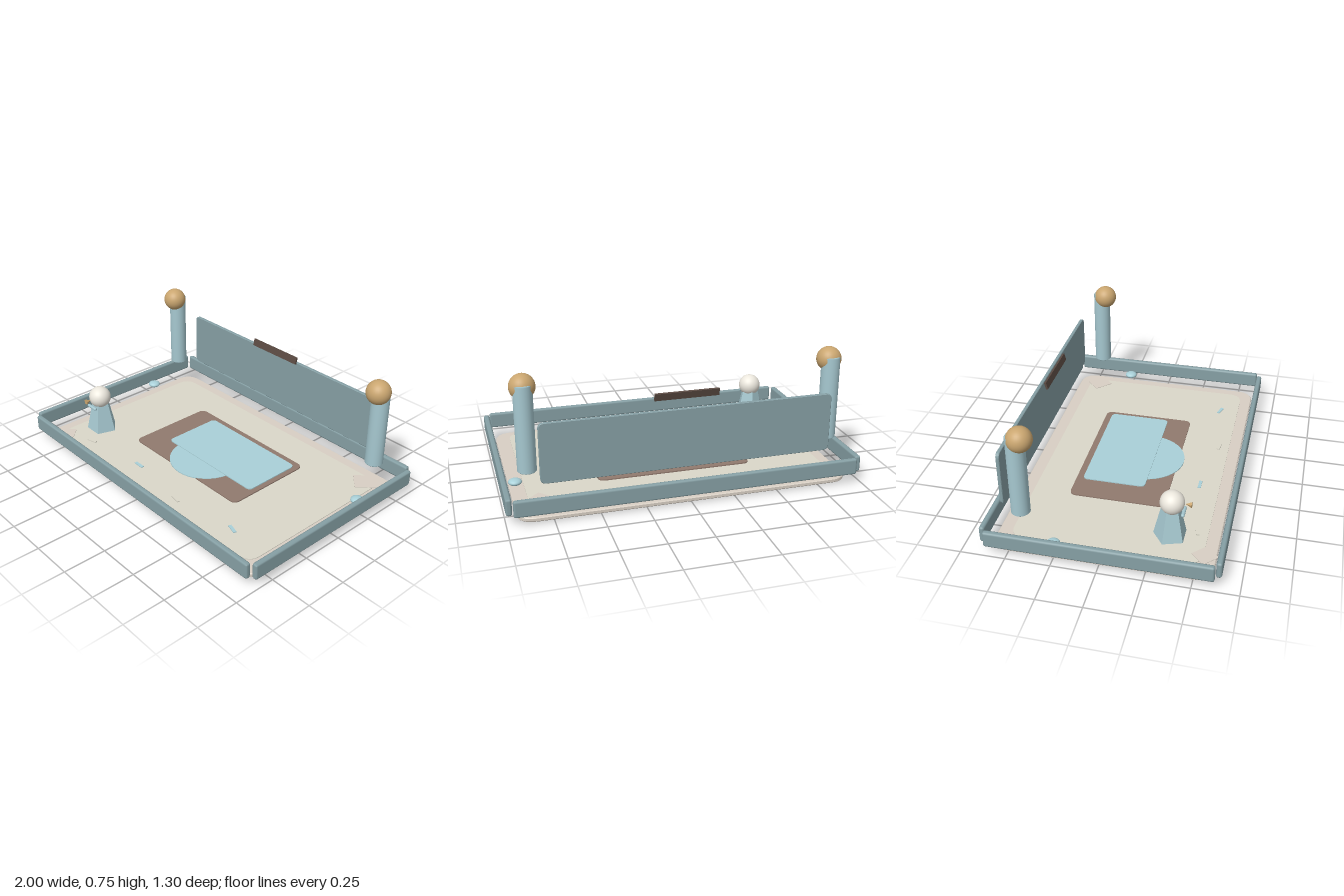
import * as THREE from 'three';
import { RoundedBoxGeometry } from 'three/addons/geometries/RoundedBoxGeometry.js';

const COLORS = {
  sand: 0xd8cfc4, mat: 0xdad7c9, rail: 0x86a0a5, post: 0xa6c8d0, gold: 0xcaa670,
  brown: 0x917a6e, water: 0xa9d0d8, cream: 0xece8de, dark: 0x5a4a42,
};

export function createModel() {
  const model = new THREE.Group();
  const mats = {};
  const material = (key, flat = false) => (mats[key + flat] ??=
    new THREE.MeshStandardMaterial({ color: COLORS[key], flatShading: flat }));

  function add(name, geometry, color, x, y, z, flat = false) {
    const mesh = new THREE.Mesh(geometry, material(color, flat));
    mesh.name = name;
    mesh.position.set(x, y, z);
    model.add(mesh);
    return mesh;
  }

  // Rounded rectangle, extruded along z and centred on its middle
  function plate(w, h, r, depth, bevel = 0) {
    const s = new THREE.Shape();
    const x = w / 2 - bevel, y = h / 2 - bevel;
    s.moveTo(-x + r, -y);
    s.lineTo(x - r, -y).quadraticCurveTo(x, -y, x, -y + r);
    s.lineTo(x, y - r).quadraticCurveTo(x, y, x - r, y);
    s.lineTo(-x + r, y).quadraticCurveTo(-x, y, -x, y - r);
    s.lineTo(-x, -y + r).quadraticCurveTo(-x, -y, -x + r, -y);
    const g = new THREE.ExtrudeGeometry(s, {
      depth: depth - 2 * bevel, curveSegments: 8,
      bevelEnabled: bevel > 0, bevelSize: bevel, bevelThickness: bevel, bevelSegments: 1,
    });
    return g.translate(0, 0, bevel - depth / 2);
  }
  const slab = (...args) => plate(...args).rotateX(-Math.PI / 2);

  // Floor and the thin layers lying above it
  add('floor', slab(1.88, 1.2, 0.1, 0.025, 0.005), 'sand', 0, 0.0125, 0);
  add('floorMat', slab(1.72, 1.05, 0.08, 0.004), 'mat', 0, 0.038, 0.005);
  add('rug', slab(0.9, 0.555, 0.04, 0.007), 'brown', 0, 0.0475, -0.0275);
  add('puddleRound', new THREE.CylinderGeometry(0.225, 0.225, 0.006, 40), 'water', 0, 0.051, 0.06);
  add('puddleSquare', slab(0.72, 0.37, 0.03, 0.006), 'water', 0.06, 0.055, -0.08);

  // Corner diamonds
  for (const [x, z, size] of [[-0.8, 0.54, 0.103], [0.8, -0.455, 0.12]]) {
    add('cornerDiamond', new THREE.BoxGeometry(size, 0.003, size), 'sand', x, 0.053, z).rotation.y = Math.PI / 4;
  }

  // Small dashes scattered near the front
  for (const [x, z, turn, color] of [[-0.62, 0.47, 0.25, 'mat'], [-0.207, 0.417, 0, 'water'],
    [0.203, 0.472, -0.15, 'mat'], [0.615, 0.42, -0.3, 'water']]) {
    add('dash', new THREE.BoxGeometry(0.065, 0.005, 0.018), color, x, 0.056, z).rotation.y = turn;
  }

  // Rails around the edge
  for (const s of [-1, 1]) {
    add(s > 0 ? 'frontRail' : 'backRail',
      new RoundedBoxGeometry(1.925, 0.095, 0.032, 1, 0.012), 'rail', 0, 0.107, s * 0.634);
    add(s > 0 ? 'leftRail' : 'rightRail',
      new RoundedBoxGeometry(0.034, 0.095, 1.235, 1, 0.012), 'rail', s * 0.983, 0.107, 0);
  }

  // Back wall with a plain sign strip before it
  add('backWall', plate(1.62, 0.335, 0.03, 0.02, 0.003), 'rail', 0, 0.368, -0.567);
  add('signStrip', new THREE.BoxGeometry(0.36, 0.042, 0.012), 'dark', 0, 0.586, -0.5).rotation.x = -0.25;

  // Posts with ball tops, and flattened pebbles beside them
  for (const s of [-1, 1]) {
    const r = 0.052, b = 0.006;
    const profile = [[0, 0.222], [r - b, 0.222], [r, 0.228], [r, 0.7], [r - b, 0.706], [0, 0.706]]
      .map(([x, y]) => new THREE.Vector2(x, y));
    add('post', new THREE.LatheGeometry(profile, 24), 'post', s * 0.86, 0, -0.44);
    add('postBall', new THREE.SphereGeometry(0.07, 32, 20), 'gold', s * 0.859, 0.685, -0.416);
    add('pebble', new THREE.SphereGeometry(0.038, 24, 14), 'water', s * 0.91, 0.08, -0.255).scale.y = 0.5;
  }

  // Figure: five-sided body, round head, beak and neck bar
  const fx = -0.694;
  add('figureBody', new THREE.CylinderGeometry(0.053, 0.095, 0.185, 5, 1, false, Math.PI),
    'post', fx, 0.1625, 0.335, true);
  add('figureHead', new THREE.SphereGeometry(0.067, 32, 20), 'cream', fx, 0.291, 0.34);
  add('figureBeak', new THREE.ConeGeometry(0.018, 0.034, 5), 'gold', fx, 0.291, 0.428, true)
    .rotation.x = -Math.PI / 2;
  add('neckBar', new THREE.CapsuleGeometry(0.01, 0.065, 4, 12).rotateZ(Math.PI / 2), 'post', fx, 0.238, 0.403);

  return model;
}
